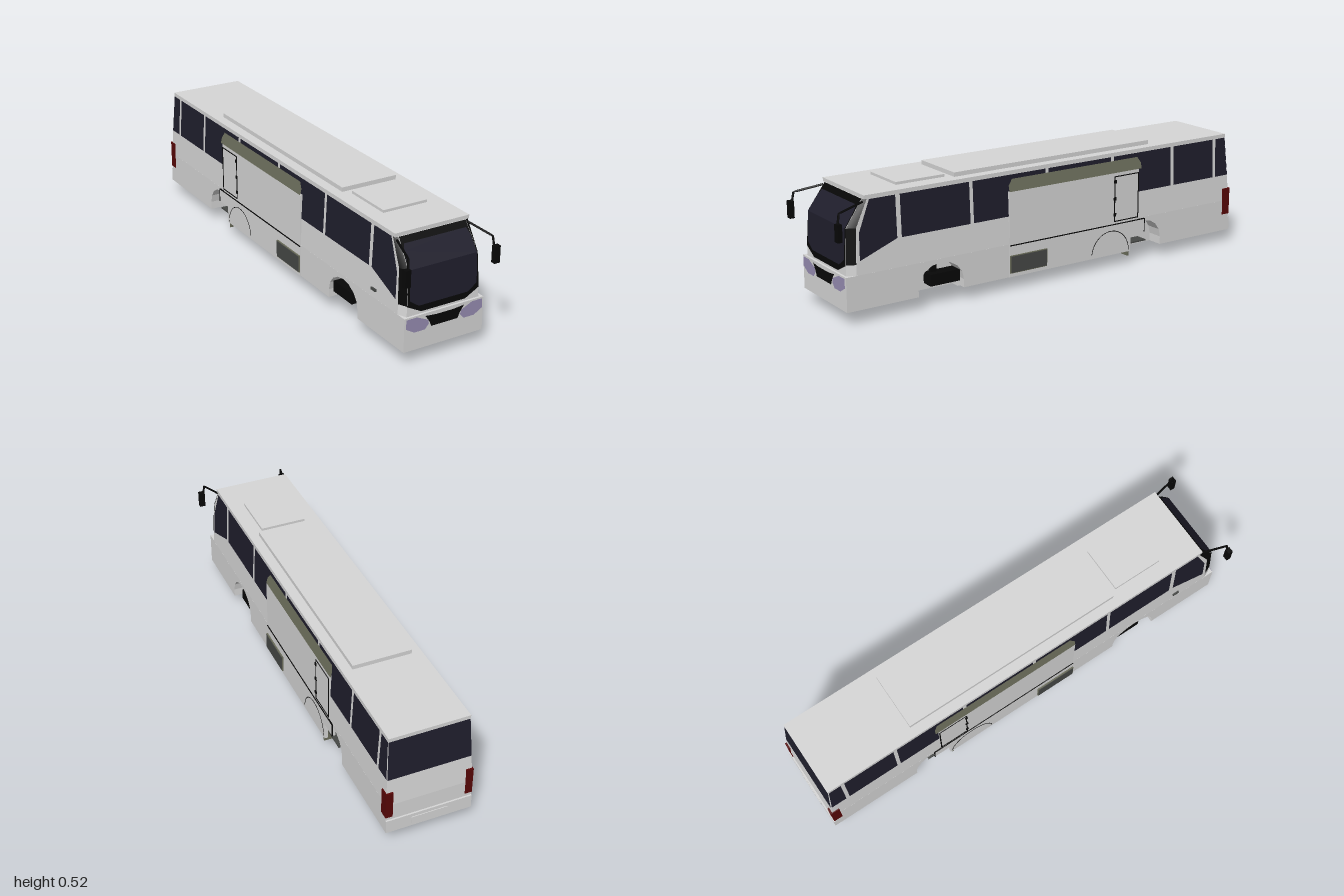
import * as THREE from 'three';

const mat = (name, color, side = THREE.DoubleSide) => {
  const m = new THREE.MeshStandardMaterial({ color, side });
  m.name = name;
  return m;
};

export function createModel() {
  const paint = mat('body paint', 0xd6d6d6);
  const glass = mat('tinted glass', 0x1f1e2c);
  const black = mat('black trim', 0x070707);
  const lamp = mat('headlight lens', 0x968cb2);
  const red = mat('tail light red', 0x580606);
  const olive = mat('olive trim', 0x6a6c5a);
  const grey = mat('dark grey', 0x464846);

  const bus = new THREE.Group();
  bus.name = 'coach';
  const add = (name, geo, m) => {
    const mesh = new THREE.Mesh(geo, m);
    mesh.name = name;
    bus.add(mesh);
  };
  // Box given by its limits
  const box = (name, m, x0, x1, y0, y1, z0, z1) => {
    const g = new THREE.BoxGeometry(Math.abs(x1 - x0), y1 - y0, z1 - z0);
    g.translate((x0 + x1) / 2, (y0 + y1) / 2, (z0 + z1) / 2);
    add(name, g, m);
  };

  // Rules for the sloping upper walls
  const lerp = THREE.MathUtils.lerp;
  const half = y => lerp(0.18, 0.166, Math.max(0, y - 0.2) / 0.285);
  const back = y => lerp(-0.99, -0.963, (y - 0.2) / 0.285);
  const front = y => y < 0.38 ? lerp(0.945, 0.935, (y - 0.2) / 0.18) : lerp(0.935, 0.86, (y - 0.38) / 0.105);
  const cutX = 0.016;
  const cutZ = y => y <= 0.38 ? 0.035 : lerp(0.035, 0.012, (y - 0.38) / 0.105);

  // Flat polygon, mapped onto a wall by a rule
  const panel = (name, m, pts, place) => {
    const g = new THREE.ShapeGeometry(new THREE.Shape(pts.map(p => new THREE.Vector2(...p))));
    const pos = g.attributes.position;
    for (let i = 0; i < pos.count; i++) pos.setXYZ(i, ...place(pos.getX(i), pos.getY(i)));
    // Turn faces outward, away from the body's centre line
    g.computeVertexNormals();
    const n = g.attributes.normal;
    if (n.getX(0) * pos.getX(0) + n.getZ(0) * pos.getZ(0) < 0) {
      g.index.array.reverse();
      g.computeVertexNormals();
    }
    add(name, g, m);
  };
  const onSide = s => (z, y) => [s * (half(y) + 0.0015), y, z];
  const onFront = off => (x, y) => [x, y, front(y) + off];
  const rect = (a0, a1, b0, b1) => [[a0, b0], [a1, b0], [a1, b1], [a0, b1]];
  const mir = pts => [...pts, ...pts.map(([x, y]) => [-x, y]).reverse()];

  // Upper shell, lofted through horizontal sections with cut front corners
  const ring = y => {
    const h = half(y), f = front(y), b = back(y), c = cutZ(y);
    return [[-h, y, b], [-h, y, f - c], [-h + cutX, y, f], [h - cutX, y, f], [h, y, f - c], [h, y, b]];
  };
  const verts = [];
  const levels = [0.19, 0.38, 0.485].map(ring);
  for (let k = 0; k < 2; k++) {
    for (let i = 0; i < 6; i++) {
      const j = (i + 1) % 6;
      const [a, b, c, d] = [levels[k][i], levels[k][j], levels[k + 1][j], levels[k + 1][i]];
      verts.push(...a, ...b, ...c, ...a, ...c, ...d);
    }
  }
  const shell = new THREE.BufferGeometry();
  shell.setAttribute('position', new THREE.Float32BufferAttribute(verts, 3));
  shell.computeVertexNormals();
  add('upperShell', shell, paint);

  // Roof
  box('roof', paint, -0.167, 0.167, 0.485, 0.5, -0.966, 0.862);
  box('roofUnit', paint, -0.125, 0.125, 0.5, 0.518, -0.555, 0.435);
  box('roofHatch', paint, -0.1, 0.1, 0.5, 0.511, 0.465, 0.685);

  // Lower body: core plus side slices with wheel arches
  box('lowerCore', paint, -0.11, 0.11, 0.055, 0.195, -0.99, 0.955);
  const sill = new THREE.Shape();
  sill.moveTo(-0.99, 0.055);
  for (const [z, r] of [[-0.492, 0.097], [0.535, 0.105]]) {
    sill.lineTo(z - r, 0.055);
    for (let i = 0; i <= 8; i++) {
      const t = Math.PI * (1 - i / 8);
      sill.lineTo(z + r * Math.cos(t), 0.09 + 0.09 * Math.sin(t));
    }
    sill.lineTo(z + r, 0.055);
  }
  sill.lineTo(0.955, 0.055);
  sill.lineTo(0.955, 0.195);
  sill.lineTo(-0.99, 0.195);
  for (const x of [0.18, -0.11]) {
    const g = new THREE.ExtrudeGeometry(sill, { depth: 0.07, bevelEnabled: false });
    g.rotateY(-Math.PI / 2).translate(x, 0, 0);
    add('lowerSide', g, paint);
  }

  // Windscreen with black surround, folded at mid height
  const edge = y => [half(y) - cutX, y];
  panel('windscreenFrame', black, mir([[0.1, 0.204], edge(0.236), edge(0.38)]), onFront(0.002));
  panel('windscreenFrame', black, mir([edge(0.38), edge(0.484)]), onFront(0.002));
  panel('windscreen', glass, mir([[0.112, 0.23], [0.152, 0.258], [0.152, 0.38]]), onFront(0.004));
  panel('windscreen', glass, mir([[0.152, 0.38], [0.149, 0.44], [0.14, 0.462]]), onFront(0.004));

  // Front face details
  const nose = (x, y) => [x, y, 0.958];
  panel('grille', black, mir([[0.06, 0.137], [0.07, 0.16], [0.088, 0.186], [0.04, 0.181]]), nose);
  panel('frontPlate', paint, mir([[0.062, 0.077], [0.048, 0.107]]), nose);

  // Rear details
  panel('rearWindow', glass, mir([[0.174, 0.31], [0.166, 0.483]]), (x, y) => [x, y, back(y) - 0.002]);
  box('rearBumper', paint, -0.18, 0.18, 0.055, 0.115, -0.997, -0.985);
  box('rearPlate', paint, -0.075, 0.075, 0.07, 0.1, -1, -0.996);

  for (const s of [1, -1]) {
    // Cut corner of the windscreen surround
    for (const [y0, y1] of [[0.238, 0.38], [0.38, 0.484]]) {
      panel('cornerTrim', black, rect(0, 1, y0, y1), (t, y) =>
        [s * (half(y) - cutX * (1 - t) + 0.0015), y, front(y) - cutZ(y) * t + 0.0015]);
    }
    panel('headlight', lamp, [[0.173, 0.19], [0.125, 0.19], [0.075, 0.167], [0.071, 0.15], [0.088, 0.13], [0.136, 0.13], [0.174, 0.152]]
      .map(([x, y]) => [s * x, y]), nose);

    // Side windows between slim pillars
    panel('driverWindow', glass, [[0.893, 0.25], [0.89, 0.36], [0.84, 0.483], [0.727, 0.483], [0.727, 0.312]], onSide(s));
    const pillars = [0.715, 0.385, 0.015, -0.325, -0.655, -0.9];
    for (let i = 0; i < 5; i++) {
      panel('sideWindow', glass, rect(pillars[i + 1] + 0.008, pillars[i] - 0.008, 0.312, 0.483), onSide(s));
    }
    panel('rearQuarterWindow', glass, [[-0.908, 0.312], [-0.977, 0.312], [-0.962, 0.483], [-0.908, 0.483]], onSide(s));

    // Side module with sloping olive hood
    box('moduleUpper', paint, s * 0.16, s * 0.182, 0.19, 0.415, -0.46, 0.21);
    box('moduleLower', paint, s * 0.168, s * 0.183, 0.055, 0.19, -0.42, 0.21);
    box('moduleEnd', paint, s * 0.168, s * 0.183, 0.13, 0.19, -0.495, -0.42);
    panel('moduleHood', olive, [[0.21, 0.415], [0.21, 0.44], [0.19, 0.465], [-0.46, 0.465], [-0.475, 0.44], [-0.475, 0.415]],
      (z, y) => [s * lerp(0.182, 0.1695, (y - 0.415) / 0.05), y, z]);
    box('moduleSeam', black, s * 0.18, s * 0.185, 0.187, 0.191, -0.495, 0.21);
    box('moduleEndEdge', black, s * 0.18, s * 0.185, 0.13, 0.19, -0.497, -0.494);

    // Service door outline and hinges
    for (const z of [-0.33, -0.458]) box('doorEdge', black, s * 0.18, s * 0.184, 0.2, 0.4, z - 0.002, z + 0.002);
    for (const y of [0.2, 0.397]) box('doorEdge', black, s * 0.18, s * 0.184, y, y + 0.004, -0.458, -0.33);
    for (const y of [0.225, 0.295, 0.37]) box('doorHinge', black, s * 0.18, s * 0.186, y, y + 0.014, -0.337, -0.325);

    // Side vent
    box('ventFrame', olive, s * 0.178, s * 0.189, 0.072, 0.147, 0.027, 0.21);
    box('ventGrille', grey, s * 0.188, s * 0.191, 0.075, 0.144, 0.03, 0.207);

    // Fender arc and mud flap
    const arc = new THREE.TorusGeometry(0.1, 0.0015, 4, 16, Math.PI * 0.97);
    arc.rotateY(Math.PI / 2).translate(s * 0.183, 0.062, -0.31);
    add('fenderArc', arc, black);
    box('mudFlap', olive, s * 0.125, s * 0.181, 0.035, 0.1, -0.412, -0.404);

    // Equipment inside the wheel arches
    box('archBlock', black, s * 0.11, s * 0.165, 0.082, 0.13, 0.44, 0.575);
    box('archPost', black, s * 0.115, s * 0.135, 0.13, 0.17, 0.53, 0.555);
    box('archShelf', grey, s * 0.11, s * 0.165, 0.08, 0.086, -0.52, -0.415);

    // Tail light
    box('tailLight', red, s * 0.152, s * 0.1815, 0.13, 0.25, -0.993, -0.953);

    // Mirror on a bent arm
    const path = new THREE.CatmullRomCurve3([[0.16, 0.474, 0.865], [0.189, 0.454, 0.98], [0.193, 0.4, 0.99]]
      .map(([x, y, z]) => new THREE.Vector3(s * x, y, z)), false, 'catmullrom', 0);
    add('mirrorArm', new THREE.TubeGeometry(path, 16, 0.0045, 6), black);
    box('mirror', black, s * 0.188, s * 0.213, 0.347, 0.417, 0.98, 1);
  }
  box('doorHandle', grey, -0.185, -0.178, 0.225, 0.235, 0.735, 0.765);

  // Underfloor tray with narrowed front and dark rails
  const tray = new THREE.Shape(mir([[0.13, -0.29], [0.13, 0.33], [0.1, 0.41]]).map(p => new THREE.Vector2(...p)));
  const trayGeo = new THREE.ExtrudeGeometry(tray, { depth: 0.022, bevelEnabled: false });
  trayGeo.rotateX(Math.PI / 2).translate(0, 0.057, 0);
  add('underTray', trayGeo, paint);
  for (const s of [1, -1]) box('trayRail', black, s * 0.105, s * 0.118, 0.032, 0.038, -0.13, 0.16);

  // Small rounded feet hanging below the tray
  for (const [x, z] of [[0, 0.175], [0, 0.125], [0.036, 0.15], [-0.036, 0.15], [0, 0.005], [0, -0.065], [0, -0.115], [0.036, -0.09], [-0.036, -0.09]]) {
    const r = x ? 0.016 : 0.019;
    const g = new THREE.SphereGeometry(1, 10, 8);
    g.scale(0.011, r, z === 0.005 ? 0.012 : 0.025).translate(x, x ? 0.022 : 0.019, z);
    add('foot', g, black);
  }
  return bus;
}
